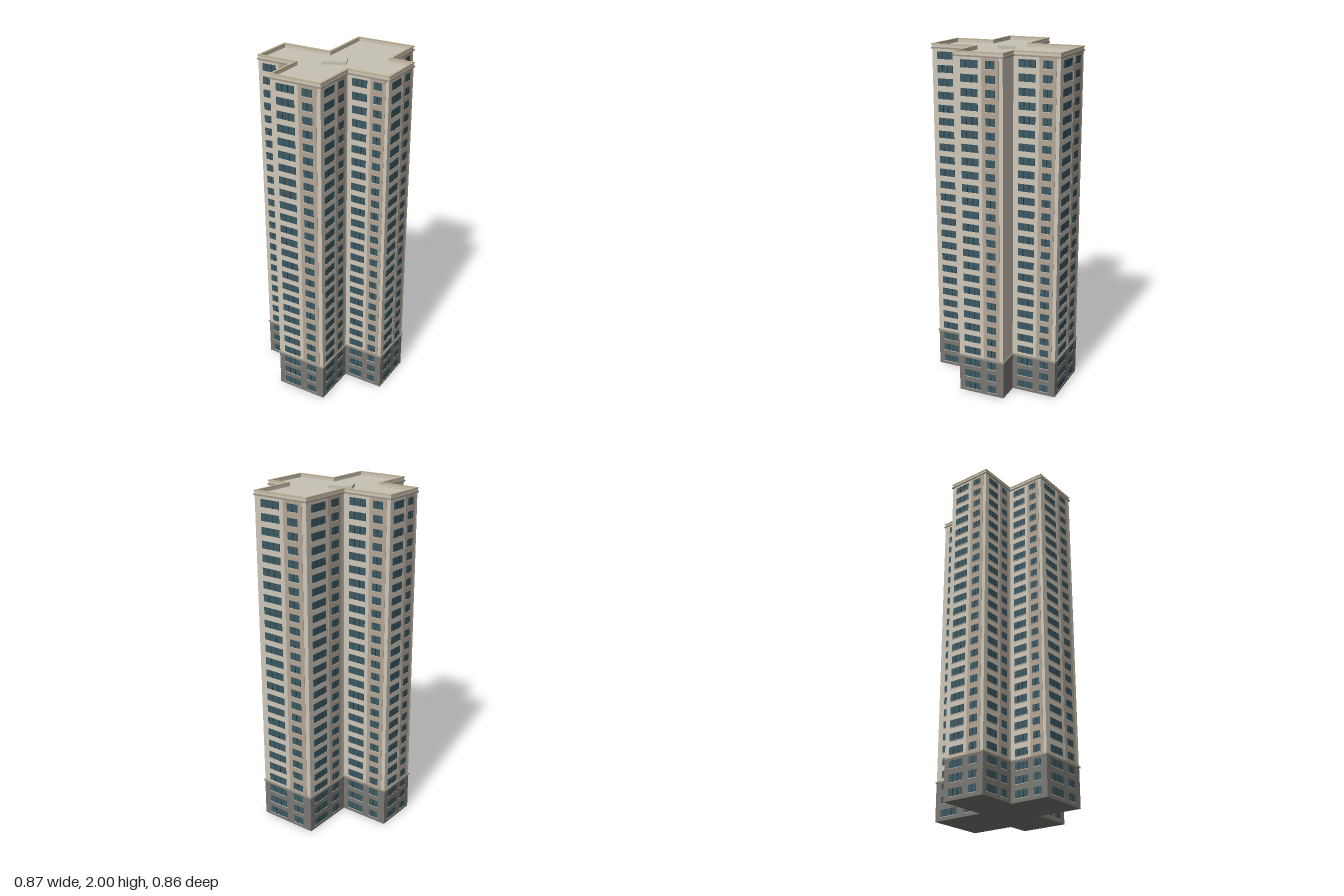
import * as THREE from 'three';
import { mergeGeometries } from 'three/addons/utils/BufferGeometryUtils.js';

const mat = (name, color) => new THREE.MeshStandardMaterial({ name, color });

// Cross-shaped plan in the tower's own axes, pushed outward by d.
// Each edge runs left to right as seen from outside.
const plan = (d = 0) => {
  const nw = -0.092 - d, ne = 0.262 + d, n = -0.423 - d;
  const en = -0.155 - d, es = 0.125 + d, e = 0.397 + d;
  const sw = -0.155 - d, se = 0.152 + d, s = 0.394 + d;
  const wn = -0.097 - d, ws = 0.162 + d, w = -0.394 - d;
  return [[sw, s], [se, s], [se, es], [e, es], [e, en], [ne, en],
    [ne, n], [nw, n], [nw, wn], [w, wn], [w, ws], [sw, ws]];
};

const outline = (d) => plan(d).map(([x, z]) => new THREE.Vector2(x, -z));

// Extruded plan, solid or as a ring when an inner offset is given
function slab(y0, y1, outer, inner) {
  const shape = new THREE.Shape(outline(outer));
  if (inner !== undefined) shape.holes.push(new THREE.Path(outline(inner)));
  return new THREE.ExtrudeGeometry(shape, { depth: y1 - y0, bevelEnabled: false })
    .rotateX(-Math.PI / 2).translate(0, y0, 0);
}

export function createModel() {
  const wall = mat('creamWall', 0xcfc7b8);
  const bay = mat('tanBay', 0xb3a595);
  const stone = mat('greyBase', 0x7b7873);
  const glass = mat('tealGlass', 0x3d5a64);
  const frame = mat('darkFrame', 0x2c3a40);
  const roofing = mat('roofing', 0xc6c2b5);
  const trim = mat('parapetTrim', 0xbdb193);
  const ledge = mat('ledge', 0x9c9587);

  const model = new THREE.Group();
  model.name = 'apartmentTower';
  const tower = new THREE.Group();
  tower.name = 'tower';
  tower.rotation.y = -25 * Math.PI / 180;
  model.add(tower);
  const add = (name, geometry, material, parent = tower) => {
    const mesh = new THREE.Mesh(geometry, material);
    mesh.name = name;
    parent.add(mesh);
  };

  // Main volumes
  const baseTop = 0.228;
  add('baseStorey', slab(0, baseTop, 0.001), stone);
  add('upperWalls', slab(baseTop, 1.974, 0), wall);
  add('roofDeck', slab(1.974, 1.978, -0.01), roofing);
  add('baseLedge', slab(baseTop - 0.004, baseTop + 0.005, 0.006, -0.004), ledge);
  add('roofCornice', slab(1.972, 1.98, 0.006, -0.004), ledge);
  add('parapet', slab(1.974, 1.994, 0.001, -0.011), wall);
  add('parapetCap', slab(1.994, 2, 0.004, -0.011), trim);
  add('roofHatch', new THREE.BoxGeometry(0.134, 0.018, 0.094).translate(0, 1.986, 0.002), roofing, model);

  // Facade details, collected per material
  const panes = [], bars = [], sills = [], bays = [];
  const floors = 26, pitch = 0.0757, winH = 0.042;
  const corners = plan();
  corners.forEach(([x0, z0], i) => {
    const [x1, z1] = corners[(i + 1) % corners.length];
    const dx = x1 - x0, dz = z1 - z0, length = Math.hypot(dx, dz);
    if (length < 0.15) return; // the short return wall stays blank
    const angle = -Math.atan2(dz, dx);
    // Thin plate centred at distance t along the wall
    const plate = (list, t, y, w, h, depth) => list.push(
      new THREE.BoxGeometry(w, h, depth)
        .translate(t, y, 0).rotateY(angle).translate(x0, 0, z0));

    plate(bays, 0.74 * length, (baseTop + 1.974) / 2, 0.36 * length, 1.974 - baseTop, 0.003);
    for (let f = 0; f < floors; f++) {
      const y = 0.043 + f * pitch;
      for (const [a, b, count] of [[0.12, 0.48, 3], [0.64, 0.84, 2]]) {
        const t = (a + b) / 2 * length, w = (b - a) * length;
        plate(panes, t, y, w, winH, 0.006);
        for (let k = 1; k < count; k++) {
          plate(bars, a * length + w * k / count, y, 0.004, winH, 0.008);
        }
        plate(sills, t, y - winH / 2 - 0.0015, w + 0.004, 0.003, 0.009);
      }
    }
  });
  add('tanBays', mergeGeometries(bays), bay);
  add('windowPanes', mergeGeometries(panes), glass);
  add('windowBars', mergeGeometries(bars), frame);
  add('windowSills', mergeGeometries(sills), wall);

  return model;
}
